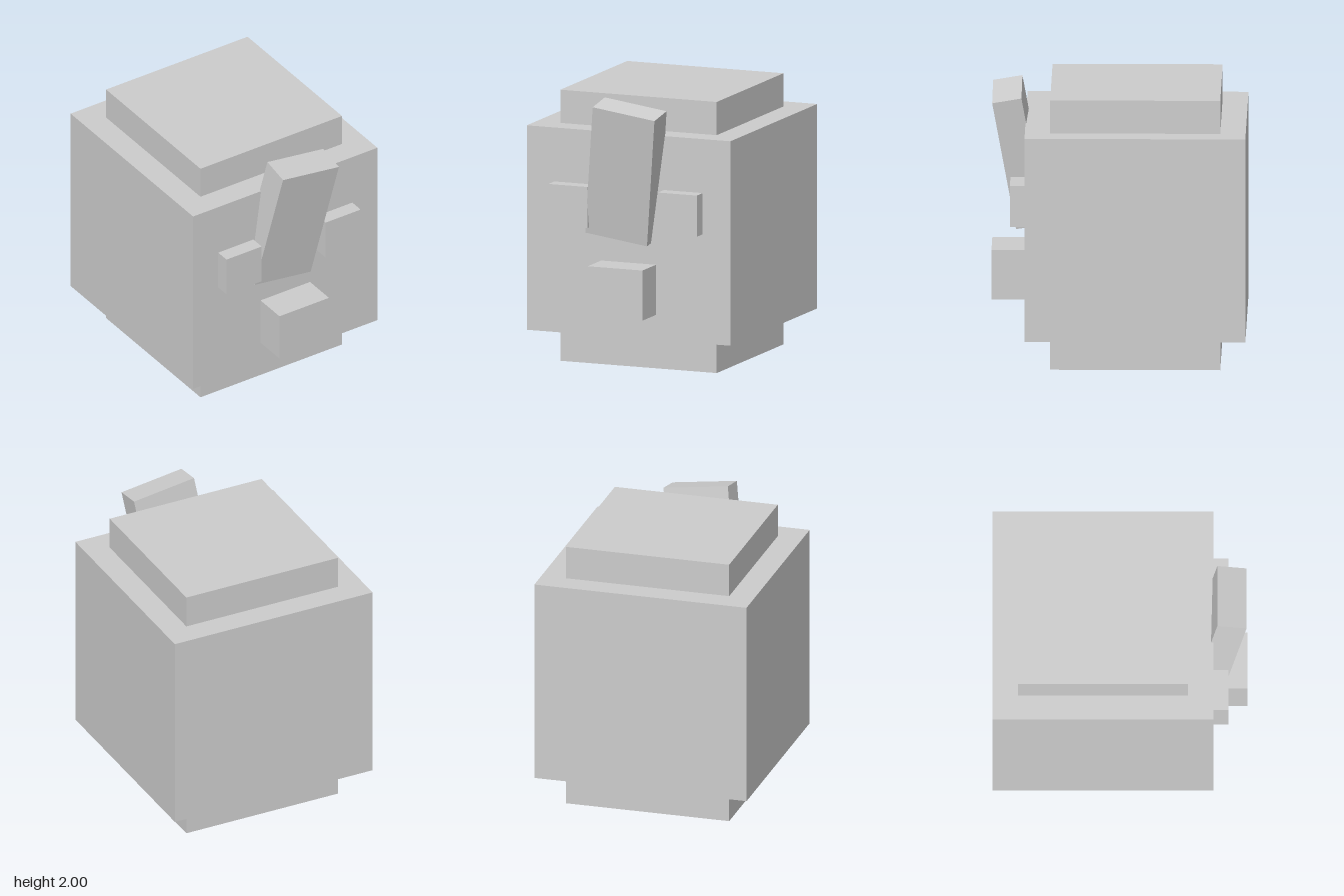
import * as THREE from 'three';

export function createModel() {
  const group = new THREE.Group();
  const grey = new THREE.MeshStandardMaterial({ color: 0xcccccc });
  grey.name = 'light grey';

  // Box spanning two opposite corners
  const block = (name, [x0, y0, z0], [x1, y1, z1]) => {
    const mesh = new THREE.Mesh(new THREE.BoxGeometry(x1 - x0, y1 - y0, z1 - z0), grey);
    mesh.name = name;
    mesh.position.set((x0 + x1) / 2, (y0 + y1) / 2, (z0 + z1) / 2);
    group.add(mesh);
    return mesh;
  };

  // Large head with a smaller slab above and below
  block('head', [-0.797, 0.25, -0.918], [0.797, 1.747, 0.672]);
  block('baseSlab', [-0.612, 0.005, -0.735], [0.612, 0.25, 0.49]);
  block('topSlab', [-0.612, 1.747, -0.735], [0.612, 1.99, 0.49]);

  // Face: two eyes and a mouth block
  block('leftEye', [0.276, 1.05, 0.672], [0.58, 1.352, 0.78]);
  block('rightEye', [-0.58, 1.05, 0.672], [-0.276, 1.352, 0.78]);
  block('mouth', [-0.214, 0.433, 0.672], [0.214, 0.8, 0.918]);

  // Tall forehead slab, leaning forward and to the left
  const crest = block('foreheadSlab', [-0.244, 0.983, 0.614], [0.244, 1.963, 0.828]);
  crest.rotation.set(THREE.MathUtils.degToRad(10), 0, THREE.MathUtils.degToRad(-7.8), 'ZYX');

  return group;
}
